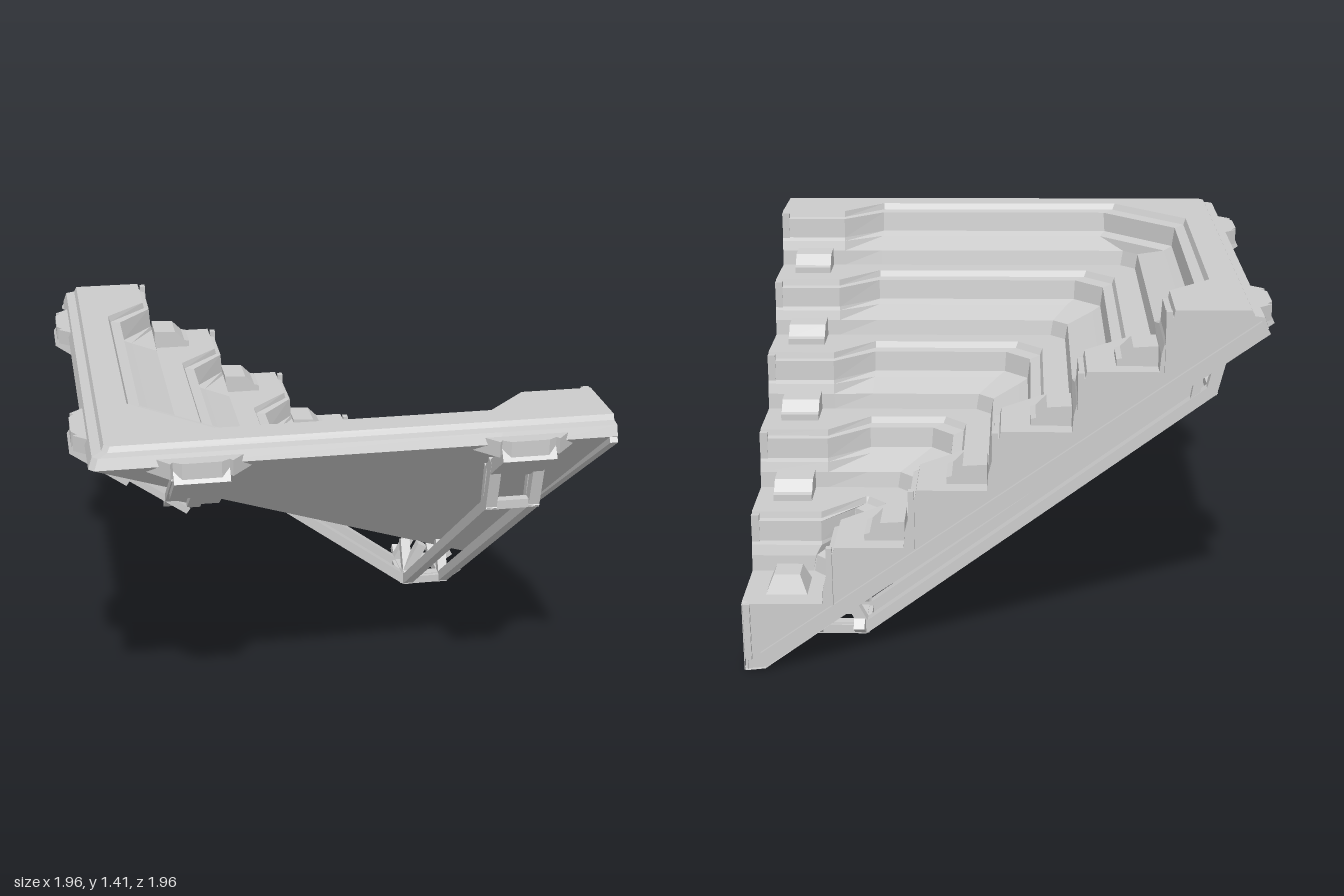
import * as THREE from 'three';

const grey = new THREE.MeshStandardMaterial({ color: 0xcccccc, flatShading: true, side: THREE.DoubleSide });
const SLOPE = 0.713, ANGLE = Math.atan(SLOPE), END = 0.98, TIERS = 5, RUN = 0.307, RISE = 0.227;
const under = d => SLOPE * d + 0.65;

function add(parent, name, geometry, x = 0, y = 0, z = 0) {
  const mesh = new THREE.Mesh(geometry, grey);
  mesh.name = name;
  mesh.position.set(x, y, z);
  parent.add(mesh);
  return mesh;
}

// L-shaped line at distance d, stepping outward by j between its ends, corner cut by c
function elbow({ d, y, j = 0, c = 0.02 }) {
  const D = d + j, corner = -D + c;
  const x2 = Math.min(END, Math.max(0.55, corner + 0.002));
  const x1 = Math.min(END, Math.max(0.71, x2 + 0.002));
  const half = [[END, d], [x1, d], [x2, D], [corner, D]];
  const mirrored = half.map(([x, z]) => [-z, -x]).reverse();
  return [...half, ...mirrored].map(([x, z]) => [x, y, z]);
}

function loft(sections) {
  const paths = sections.map(elbow), pos = [];
  for (let s = 0; s + 1 < paths.length; s++) {
    const p = paths[s], q = paths[s + 1];
    for (let i = 0; i + 1 < p.length; i++)
      pos.push(...p[i], ...q[i], ...p[i + 1], ...p[i + 1], ...q[i], ...q[i + 1]);
  }
  const g = new THREE.BufferGeometry();
  g.setAttribute('position', new THREE.Float32BufferAttribute(pos, 3));
  g.computeVertexNormals();
  return g;
}

// Cross-section of the stand from the outer edge, down the terraces, back along the underside
function standSections() {
  const list = [
    { d: 0.93, y: 1.345 }, { d: 0.915, y: 1.385 }, { d: 0.88, y: 1.39 }, { d: 0.87, y: 1.41 }
  ];
  for (let k = 0; k < TIERS; k++) {
    const d = 0.57 - RUN * k, y = 1.41 - RISE * k;
    const c = k === 0 ? 0.29 : 0.13 - 0.015 * k;
    list.push(
      { d: d + 0.03, y, j: 0.16, c },
      { d: d + 0.025, y: y - 0.025, j: 0.155, c },
      { d: d + 0.005, y: y - 0.03, j: 0.135, c },
      { d, y: y - 0.11, j: 0.13, c: c * 0.95 },
      { d: d - 0.005, y: y - 0.125, j: 0.1, c: c * 0.9 },
      { d: d - 0.015, y: y - 0.165, j: 0.005, c: 0.06 },
      { d: d - 0.02, y: y - RISE, c: 0.06 }
    );
  }
  list.push(
    { d: -0.955, y: 0.275, c: 0.01 }, { d: -0.975, y: 0.27, c: 0.003 },
    { d: -0.975, y: 0, c: 0.003 }, { d: -0.9, y: 0.008, c: 0.01 }, { ...list[0] }
  );
  return list;
}

// Closing panel with raised posts and a sloping edge band
function endPanel(sections, name) {
  const g = new THREE.Group();
  g.name = name;
  const outline = new THREE.Shape(sections.slice(0, -1).map(s => new THREE.Vector2(s.d, s.y)));
  add(g, 'endPanel', new THREE.ShapeGeometry(outline));
  for (let k = 0; k <= TIERS; k++) {
    const d = k < TIERS ? 0.58 - RUN * k : -0.962;
    add(g, 'endPost', new THREE.BoxGeometry(0.022, RISE, 0.03), d, 1.405 - RISE * (k + 0.5), 0);
  }
  const band = add(g, 'edgeBand', new THREE.BoxGeometry(2.24, 0.055, 0.03), 0.01, under(0.01) + 0.04, 0);
  band.rotation.z = ANGLE;
  return g;
}

// Square bar between two points of a vertical z-y plane
function bar(parent, name, x, [z0, y0], [z1, y1], t = 0.042) {
  const length = Math.hypot(z1 - z0, y1 - y0);
  const m = add(parent, name, new THREE.BoxGeometry(t, t, length + t * 0.6), x, (y0 + y1) / 2, (z0 + z1) / 2);
  m.rotation.x = -Math.atan2(y1 - y0, z1 - z0);
}

// Plate lying against the sloping underside from d0 to d1
function underPlate(parent, name, x, d0, d1, width, thick) {
  const d = (d0 + d1) / 2;
  const m = add(parent, name, new THREE.BoxGeometry(width, thick, (d1 - d0) / Math.cos(ANGLE)), x, under(d) - thick * 0.5, d);
  m.rotation.x = -ANGLE;
}

// Tapered bracket with pointed fins under the outer edge
function edgeBracket(parent, x) {
  const s = new THREE.Shape();
  [[-0.19, 0.88], [-0.11, 0.97], [-0.1, 0.955], [-0.07, 0.975], [0.07, 0.975], [0.1, 0.955], [0.11, 0.97], [0.19, 0.88]]
    .forEach(([a, b], i) => (i ? s.lineTo(a, b) : s.moveTo(a, b)));
  const cap = new THREE.ExtrudeGeometry(s, { depth: 0.06, bevelEnabled: false });
  cap.rotateX(Math.PI / 2);
  add(parent, 'edgeBracket', cap, x, 1.37, 0);
  underPlate(parent, 'bracketPlate', x, 0.77, 0.97, 0.2, 0.05);
}

// Supporting frame, brackets and step blocks of one arm
function armFittings(side) {
  const g = new THREE.Group();
  g.name = side > 0 ? 'frontArmFittings' : 'sideArmFittings';
  const path = [[0.81, 1.22], [0.765, 1.035], [-0.54, 0.065], [-0.74, 0.065], [-0.79, 0.1]];
  for (const x of [0.56, 0.725]) {
    for (let i = 0; i + 1 < path.length; i++) bar(g, 'supportBeam', x * side, path[i], path[i + 1]);
    bar(g, 'supportStrut', x * side, path[2], [-0.62, 0.22]);
    bar(g, 'supportStrut', x * side, [0.7, 0.985], [0.73, 1.17], 0.03);
  }
  for (const [z, y] of [path[1], path[2], path[3]])
    add(g, 'crossBar', new THREE.BoxGeometry(0.17, 0.035, 0.035), 0.6425 * side, y, z);
  edgeBracket(g, 0.64 * side);
  edgeBracket(g, -0.54 * side);
  underPlate(g, 'undersidePanel', -0.54 * side, 0.56, 0.93, 0.21, 0.025);
  underPlate(g, 'undersideRib', -0.54 * side, 0.62, 0.9, 0.05, 0.05);

  const profile = new THREE.Shape();
  [[0, 0], [0, 0.075], [0.09, 0.07], [0.13, 0.03], [0.15, 0.025], [0.15, 0]]
    .forEach(([a, b], i) => (i ? profile.lineTo(a, b) : profile.moveTo(a, b)));
  for (let k = 0; k < TIERS - 1; k++) {
    const step = new THREE.ExtrudeGeometry(profile, { depth: 0.15, bevelEnabled: false });
    step.rotateY(Math.PI / 2);
    step.translate(0.835 * side - 0.075, 1.41 - RISE * (k + 1), 0.55 - RUN * k);
    add(g, 'stepBlock', step);
  }
  if (side < 0) g.rotation.y = -Math.PI / 2;
  return g;
}

export function createModel() {
  const model = new THREE.Group();
  model.name = 'cornerStand';
  const sections = standSections();
  add(model, 'terraces', loft(sections));

  const rightEnd = endPanel(sections, 'frontArmEnd');
  rightEnd.rotation.y = -Math.PI / 2;
  rightEnd.position.x = END - 0.015;
  const backEnd = endPanel(sections, 'sideArmEnd');
  backEnd.rotation.y = Math.PI;
  backEnd.position.z = -END + 0.015;
  model.add(rightEnd, backEnd, armFittings(1), armFittings(-1));

  // Block in the lowest corner
  const block = add(model, 'cornerBlock', new THREE.CylinderGeometry(0.07, 0.11, 0.07, 4), 0.82, 0.31, -0.82);
  block.rotation.y = Math.PI / 4;
  return model;
}
